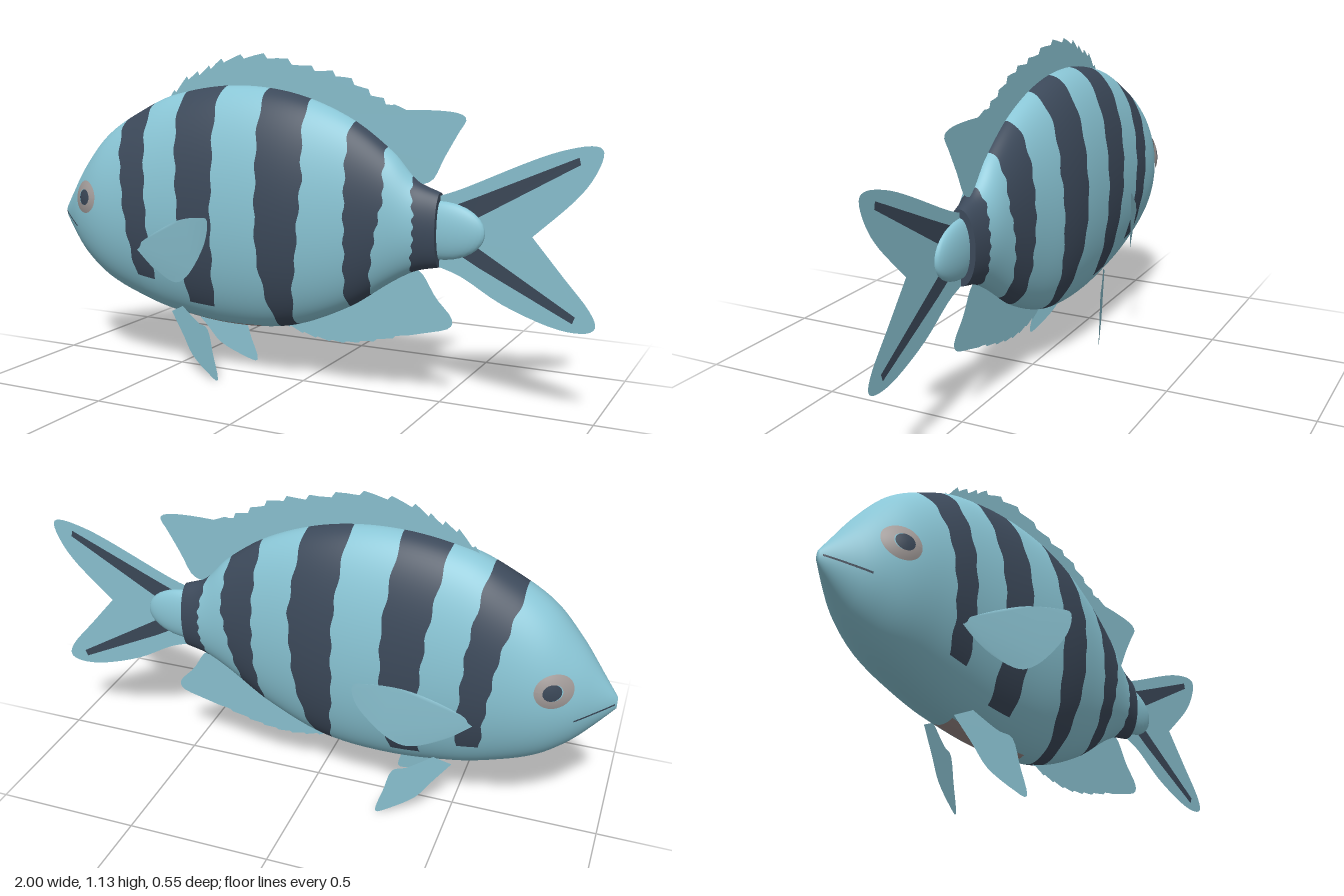
import * as THREE from 'three';

const mat = (name, color, side = THREE.FrontSide) => {
  const m = new THREE.MeshStandardMaterial({ color, side });
  m.name = name;
  return m;
};

// Body profile stations: x, top y, bottom y, half width
const PROFILE = [
  [-1, 0.55, 0.51, 0.008], [-0.95, 0.62, 0.45, 0.05], [-0.87, 0.73, 0.365, 0.11], [-0.77, 0.84, 0.292, 0.152],
  [-0.63, 0.925, 0.235, 0.168], [-0.5, 0.98, 0.2, 0.17], [-0.27, 1.015, 0.175, 0.17], [-0.04, 0.995, 0.195, 0.158],
  [0.17, 0.92, 0.28, 0.118], [0.33, 0.81, 0.385, 0.085], [0.41, 0.725, 0.428, 0.068], [0.49, 0.69, 0.447, 0.053],
];

// Smooth interpolation of one profile column
function profile(x, col) {
  const P = PROFILE, n = P.length - 1;
  let i = 0;
  while (i < n - 1 && x > P[i + 1][0]) i++;
  const slope = (k) => {
    const a = P[Math.max(k - 1, 0)], b = P[Math.min(k + 1, n)];
    return (b[col] - a[col]) / (b[0] - a[0]);
  };
  const d = P[i + 1][0] - P[i][0], t = Math.min(1, Math.max(0, (x - P[i][0]) / d));
  const t2 = t * t, t3 = t2 * t;
  return (2 * t3 - 3 * t2 + 1) * P[i][col] + (t3 - 2 * t2 + t) * d * slope(i)
    + (3 * t2 - 2 * t3) * P[i + 1][col] + (t3 - t2) * d * slope(i + 1);
}
const middle = (x) => (profile(x, 1) + profile(x, 2)) / 2;
const halfHeight = (x) => (profile(x, 1) - profile(x, 2)) / 2;
const surfaceZ = (x, y) =>
  profile(x, 3) * Math.sqrt(Math.max(0, 1 - ((y - middle(x)) / halfHeight(x)) ** 2));

// Stripe edges: x at four heights, from back to belly; bands alternate plain and striped
const EDGES = [
  [-1, -1, -1, -1],
  [-0.69, -0.64, -0.61, -0.59], [-0.575, -0.54, -0.525, -0.52],
  [-0.445, -0.41, -0.39, -0.4], [-0.29, -0.265, -0.27, -0.3],
  [-0.12, -0.1, -0.1, -0.07], [0.035, 0.06, 0.04, -0.01],
  [0.19, 0.2, 0.2, 0.18], [0.31, 0.325, 0.295, 0.26],
  [0.4, 0.42, 0.42, 0.4], [0.49, 0.49, 0.49, 0.49],
];
const STRIPE_END = { 1: 0.84, 3: 0.9 }; // these stripes stop short of the belly

function edgeX(k, v) {
  const e = EDGES[k], s = Math.min(v * 3, 2.999), i = Math.floor(s);
  const wobble = k > 0 && k < 10 ? 0.004 * Math.sin(v * 45 + k * 2) : 0;
  return e[i] + (e[i + 1] - e[i]) * (s - i) + wobble;
}

function bodyGeometry() {
  const R = 112, columns = [{ k: 0, t: 0, scale: 0 }];
  for (let k = 0; k < 10; k++) {
    const n = k === 0 ? 16 : 6;
    for (let i = 0; i < n; i++) columns.push({ k, t: i / n, scale: 1 });
  }
  columns.push({ k: 9, t: 1, scale: 1 }, { k: 9, t: 1, scale: 1 }, { k: 9, t: 1, scale: 0 });
  const pos = [], lists = [[], [], []];
  for (const { k, t, scale } of columns) {
    for (let j = 0; j < R; j++) {
      const a = (j / R) * Math.PI * 2, v = (1 - Math.cos(a)) / 2;
      const x = edgeX(k, v) * (1 - t) + edgeX(k + 1, v) * t;
      pos.push(x, middle(x) + halfHeight(x) * Math.cos(a) * scale, profile(x, 3) * Math.sin(a) * scale);
    }
  }
  for (let i = 0; i < columns.length - 1; i++) {
    const k = columns[i].k;
    for (let j = 0; j < R; j++) {
      const a = i * R + j, b = i * R + (j + 1) % R, c = a + R, d = b + R;
      const angle = ((j + 0.5) / R) * Math.PI * 2, v = (1 - Math.cos(angle)) / 2, x = pos[a * 3];
      let m = k % 2 === 1 && v < (STRIPE_END[k] ?? 2) ? 1 : 0;
      if (m === 0 && Math.abs(angle - Math.PI) < 0.25 && x > -0.5 && x < -0.16) m = 2;
      lists[m].push(a, b, c, b, d, c);
    }
  }
  const g = new THREE.BufferGeometry();
  g.setAttribute('position', new THREE.Float32BufferAttribute(pos, 3));
  g.setIndex(lists.flat());
  let start = 0;
  lists.forEach((l, m) => { g.addGroup(start, l.length, m); start += l.length; });
  g.computeVertexNormals();
  return g;
}

const vec = (pts) => pts.map(([x, y]) => new THREE.Vector2(x, y));
const smooth = (pts, n = 32) => new THREE.SplineCurve(vec(pts)).getPoints(n);

// Fin edge with backward-leaning spine tips; drop is the signed notch height
function serrated(pts, teeth, drop) {
  const curve = new THREE.SplineCurve(vec(pts)), out = [];
  for (let i = 0; i <= teeth; i++) {
    const p = curve.getPoint(i / teeth);
    out.push(p);
    if (i < teeth) {
      const q = curve.getPoint((i + 0.15) / teeth), r = curve.getPoint((i + 0.6) / teeth);
      out.push(new THREE.Vector2(q.x, q.y - drop), new THREE.Vector2(r.x, r.y - drop * 0.5));
    }
  }
  return out;
}

// Flat outline, optionally bent sideways by z = rule(x, y)
function sheet(points, rule, hole) {
  const shape = new THREE.Shape(points);
  if (hole) shape.holes.push(new THREE.Path(hole));
  const g = new THREE.ShapeGeometry(shape);
  if (rule) {
    const p = g.attributes.position;
    for (let i = 0; i < p.count; i++) p.setZ(i, rule(p.getX(i), p.getY(i)));
    g.computeVertexNormals();
  }
  return g;
}

// Round patch lying on the flank, slightly domed
function flankDisc(cx, cy, inner, outer, lift, side) {
  const g = new THREE.RingGeometry(inner, outer, 32, 4), p = g.attributes.position;
  for (let i = 0; i < p.count; i++) {
    const x = cx + p.getX(i), y = cy + p.getY(i), r = Math.hypot(p.getX(i), p.getY(i)) / 0.06;
    p.setXYZ(i, x, y, side * (surfaceZ(x, y) + 0.003 + lift * (1 - r * r)));
  }
  g.computeVertexNormals();
  return g;
}

export function createModel() {
  const fish = new THREE.Group();
  fish.name = 'fish';
  const skin = mat('skinBlue', 0x8ac6d6), dark = mat('stripeNavy', 0x3c495a), belly = mat('bellyGrey', 0x9c8c8a);
  const finBlue = mat('finBlue', 0x88bfce, THREE.DoubleSide);
  const finDark = mat('finNavy', 0x3a4757, THREE.DoubleSide);
  const iris = mat('irisGrey', 0xa39c9a, THREE.DoubleSide);
  const add = (name, geometry, material) => {
    const mesh = new THREE.Mesh(geometry, material);
    mesh.name = name;
    fish.add(mesh);
    return mesh;
  };

  add('body', bodyGeometry(), [skin, dark, belly]);

  // Fleshy root that tapers into the tail fin
  const root = add('tailRoot', new THREE.SphereGeometry(1, 32, 20), skin);
  root.scale.set(0.15, 0.095, 0.034);
  root.position.set(0.49, 0.568, 0);

  // Forked tail with a dark V set into it
  const tail = [
    ...smooth([[0.49, 0.68], [0.57, 0.71], [0.757, 0.795], [0.864, 0.837], [0.96, 0.858], [0.997, 0.84], [0.975, 0.77], [0.917, 0.69], [0.79, 0.57]]),
    ...smooth([[0.79, 0.57], [0.89, 0.453], [0.97, 0.36], [0.992, 0.305], [0.95, 0.283], [0.853, 0.293], [0.7, 0.347], [0.57, 0.42], [0.49, 0.448]]).slice(1),
  ];
  const chevron = vec([[0.545, 0.655], [0.62, 0.687], [0.925, 0.822], [0.93, 0.8], [0.585, 0.6], [0.585, 0.54], [0.93, 0.332], [0.922, 0.31], [0.62, 0.458], [0.545, 0.5]]);
  add('tailFin', sheet(tail, null, chevron), finBlue);
  add('tailStripe', sheet(chevron), finDark);

  // Fins on the centre line
  add('dorsalFin', sheet([
    ...serrated([[-0.56, 0.94], [-0.47, 1.035], [-0.39, 1.07], [-0.3, 1.11], [-0.15, 1.125], [0.01, 1.09], [0.144, 1.06], [0.25, 1.005], [0.33, 0.965]], 14, 0.016),
    ...smooth([[0.37, 0.948], [0.45, 0.95], [0.535, 0.945], [0.57, 0.925], [0.545, 0.88], [0.5, 0.8], [0.464, 0.73], [0.416, 0.71]], 20),
    ...vec([[0.3, 0.75], [0, 0.88], [-0.27, 0.92], [-0.48, 0.9]]),
  ]), finBlue);
  add('analFin', sheet([
    ...serrated([[-0.09, 0.2], [0.01, 0.167], [0.128, 0.153], [0.25, 0.17], [0.384, 0.208]], 9, -0.006),
    ...smooth([[0.45, 0.225], [0.525, 0.248], [0.535, 0.285], [0.48, 0.347], [0.437, 0.416], [0.4, 0.44]], 16),
    ...vec([[0.3, 0.46], [0.1, 0.34], [-0.05, 0.26]]),
  ]), finBlue);

  // Paired parts
  for (const side of [1, -1]) {
    const label = side > 0 ? 'left' : 'right';
    add(label + 'PectoralFin', sheet(
      smooth([[-0.59, 0.45], [-0.47, 0.52], [-0.36, 0.57], [-0.25, 0.592], [-0.212, 0.585], [-0.225, 0.515], [-0.28, 0.43], [-0.34, 0.37], [-0.4, 0.352], [-0.5, 0.385], [-0.59, 0.45]], 40).slice(0, -1),
      (x) => side * (0.155 + 0.12 * Math.max(0, (x + 0.59) / 0.375) ** 1.35)), finBlue);
    add(label + 'PelvicFin', sheet(
      smooth([[-0.5, 0.205], [-0.44, 0.13], [-0.39, 0.065], [-0.31, 0.017], [-0.26, 0.004], [-0.285, 0.095], [-0.31, 0.175], [-0.36, 0.19], [-0.44, 0.235]], 28),
      (x) => side * (0.06 + 0.34 * (x + 0.5))), finBlue);
    add(label + 'Iris', flankDisc(-0.815, 0.61, 0.028, 0.058, 0.009, side), iris);
    add(label + 'Pupil', flankDisc(-0.812, 0.61, 0, 0.028, 0.009, side), finDark);

    // Mouth line
    const lips = [], lower = [];
    for (let i = 0; i <= 8; i++) {
      const x = -0.995 + i * 0.014, y = 0.53 - i * 0.0045;
      lips.push(new THREE.Vector2(x, y + 0.003));
      lower.unshift(new THREE.Vector2(x, y - 0.003));
    }
    add(label + 'Mouth', sheet([...lips, ...lower], (x, y) => side * (surfaceZ(x, y) + 0.002)), finDark);
  }
  return fish;
}
